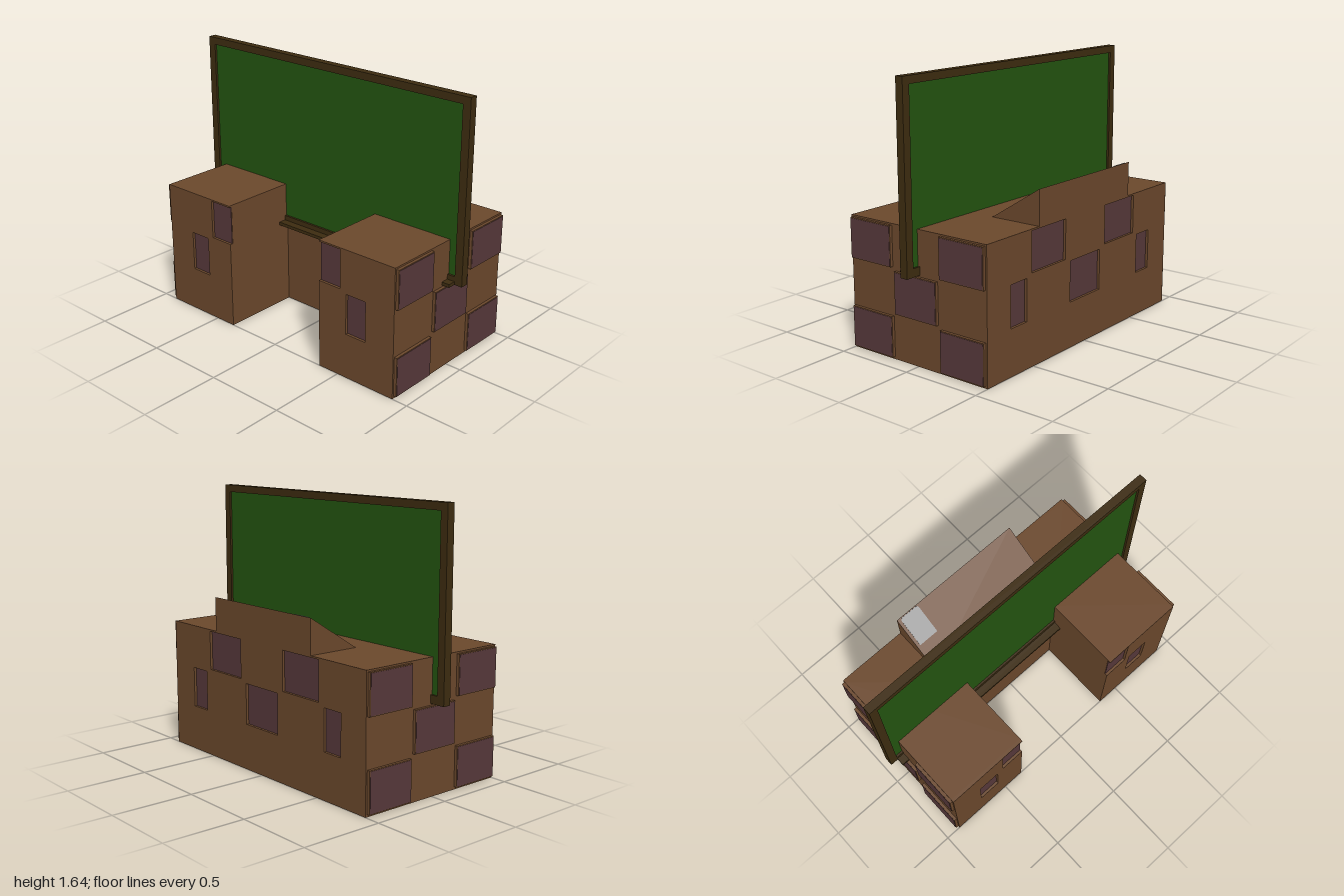
import * as THREE from 'three';

const mat = (name, color) => {
  const m = new THREE.MeshStandardMaterial({ color });
  m.name = name;
  return m;
};

export function createModel() {
  const wood = mat('brown wood', 0x6b482c);
  const purple = mat('purple panel', 0x56383a);
  const dark = mat('dark frame wood', 0x3d2c10);
  const green = mat('board green', 0x235410);
  const grey = mat('paper grey', 0x929292);

  const model = new THREE.Group();
  model.name = 'deskWithBoard';

  const add = (name, geometry, material, x = 0, y = 0, z = 0) => {
    const mesh = new THREE.Mesh(geometry, material);
    mesh.name = name;
    mesh.position.set(x, y, z);
    model.add(mesh);
    return mesh;
  };
  const box = (name, material, x0, x1, y0, y1, z0, z1) =>
    add(name, new THREE.BoxGeometry(x1 - x0, y1 - y0, z1 - z0), material,
      (x0 + x1) / 2, (y0 + y1) / 2, (z0 + z1) / 2);
  const polygon = (points) => new THREE.Shape(points.map(([x, y]) => new THREE.Vector2(x, y)));
  const rect = (x0, x1, y0, y1) => polygon([[x0, y0], [x1, y0], [x1, y1], [x0, y1]]);
  const extrude = (shape, depth) => new THREE.ExtrudeGeometry(shape, { depth, bevelEnabled: false });

  const R = 0.02; // depth of the recesses and of the raised side panels

  // U-shaped desk core with a knee space at the front
  const core = extrude(polygon([
    [-0.9, -0.48], [-0.9, 0.5 - 0.02], [0.9, 0.48], [0.9, -0.48],
    [0.36, -0.48], [0.36, 0], [-0.36, 0], [-0.36, -0.48],
  ]), 0.8);
  core.rotateX(-Math.PI / 2);
  add('deskBody', core, wood);

  // Back face with five recessed panels
  const backPanels = [
    [-0.15, 0.15, 0.28, 0.53],
    [0.2, 0.515, 0.55, 0.79], [-0.515, -0.2, 0.55, 0.79],
    [0.56, 0.7, 0.28, 0.53], [-0.7, -0.56, 0.28, 0.53],
  ];
  const backFace = rect(-0.9, 0.9, 0, 0.8);
  for (const p of backPanels) {
    backFace.holes.push(rect(...p));
    box('backPanel', purple, ...p, -0.484, -0.478);
  }
  add('backFace', extrude(backFace, R), wood, 0, 0, -0.5);

  for (const s of [-1, 1]) {
    const span = (a, b) => (s > 0 ? [a, b] : [-b, -a]);

    // Front face of each pedestal: a notch at the inner edge and one recess
    const front = polygon([
      [0.36, 0], [0.9, 0], [0.9, 0.8], [0.36, 0.8],
      [0.36, 0.79], [0.515, 0.79], [0.515, 0.55], [0.36, 0.55],
    ].map(([x, y]) => [s * x, y]));
    front.holes.push(rect(...span(0.56, 0.7), 0.28, 0.53));
    add('pedestalFront', extrude(front, R), wood, 0, 0, 0.48);
    box('frontUpperPanel', purple, ...span(0.362, 0.515), 0.55, 0.79, 0.478, 0.484);
    box('frontLowerPanel', purple, ...span(0.56, 0.7), 0.28, 0.53, 0.478, 0.484);

    // Raised panels on the sides: four corners and the middle
    const sidePanels = [
      [0.55, 0.79, 0.18, 0.49], [0.55, 0.79, -0.49, -0.18],
      [0.015, 0.26, 0.18, 0.49], [0.015, 0.26, -0.49, -0.18],
      [0.28, 0.53, -0.155, 0.155],
    ];
    const e = 0.005;
    for (const [y0, y1, z0, z1] of sidePanels) {
      box('sidePanelBase', wood, ...span(0.895, 0.918), y0, y1, z0, z1);
      box('sidePanelFace', purple, ...span(0.915, 0.92), y0 + e, y1 - e, z0 + e, z1 - e);
    }
  }

  // Sloping reading stand on the desk top
  const stand = extrude(polygon([[0.17, 0.8], [0.5, 0.8], [0.5, 1.01]]), 0.9);
  stand.rotateY(Math.PI / 2); // profile x becomes -z
  add('readingStand', stand, wood, -0.45, 0, 0);

  // Sheet of paper on the slope, upper corners rounded
  const w = 0.067, h = 0.1, r = 0.02;
  const sheet = new THREE.Shape();
  sheet.moveTo(-w, -h);
  sheet.lineTo(w, -h);
  sheet.lineTo(w, h - r);
  sheet.quadraticCurveTo(w, h, w - r, h);
  sheet.lineTo(r - w, h);
  sheet.quadraticCurveTo(-w, h, -w, h - r);
  const slope = Math.atan2(0.21, 0.33);
  const paper = add('paper', extrude(sheet, 0.003), grey, -0.363, 0.954, -0.41);
  paper.rotation.x = slope - Math.PI / 2;

  // Board: frame, green surface and ledge
  const frame = rect(-1, 1, 0.54, 1.64);
  frame.holes.push(rect(-0.95, 0.95, 0.59, 1.595));
  add('boardFrame', extrude(frame, 0.05), dark, 0, 0, -0.025);
  box('boardSurface', green, -0.95, 0.95, 0.59, 1.595, -0.012, 0.012);
  box('boardLedge', dark, -0.95, 0.95, 0.54, 0.56, 0.02, 0.075);

  return model;
}
